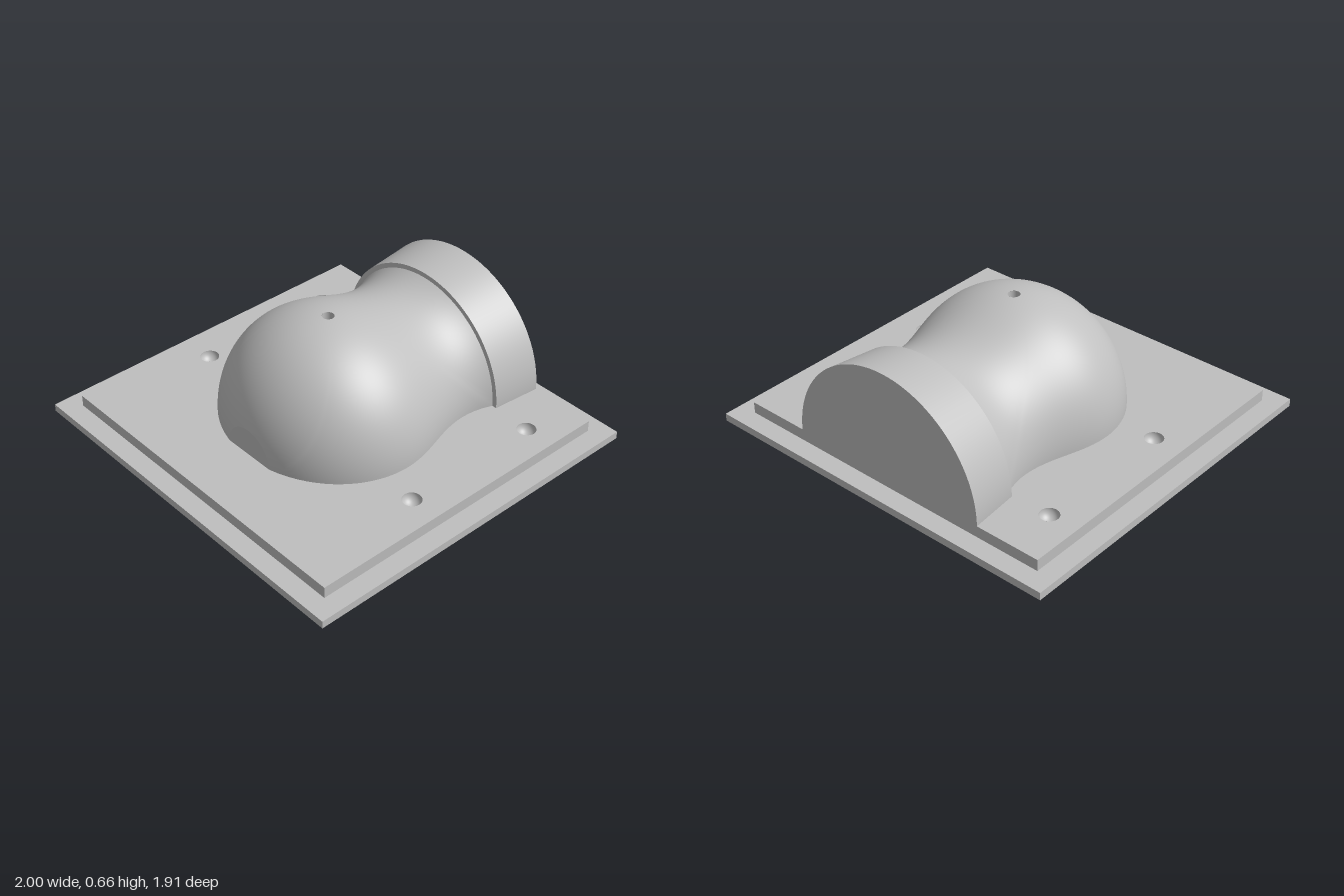
import * as THREE from 'three';

const PLATE_TOP = 0.1;
const HOLE_Z = 0.03; // axis of the vent and the socket
const VENT_R = 0.03;
const SOCKET_R = 0.2;
const SOCKET_TOP = 0.17;
const DIMPLE_R = 0.048;
const A_MIN = -0.635 / 0.507;
const A_MAX = Math.asin(0.49 / 0.507);

// Half-round body: radius and position along z for profile parameter a
function profile(a) {
  if (a > 0) return { z: 0.04 + 0.507 * Math.sin(a), r: 0.565 * Math.cos(a) };
  const z = 0.04 + 0.507 * a;
  const neck = -0.927;
  const r = a > neck
    ? 0.47 + 0.0475 * (1 + Math.cos((Math.PI * a) / neck))
    : 0.47 + 0.33 * (a - neck) ** 2;
  return { z, r };
}

// Surface swept from the vent rim outward to the edges of the half-round body
function bodyGeometry(rings = 56, around = 160) {
  const a0 = Math.asin((HOLE_Z - 0.04) / 0.507);
  const pos = [];
  const index = [];
  for (let i = 0; i <= rings; i++) {
    const s = i / rings;
    for (let j = 0; j < around; j++) {
      const t = (j / around) * Math.PI * 2;
      const c = Math.cos(t);
      const n = Math.sin(t);
      const m = Math.max(Math.abs(c), Math.abs(n));
      const rimA = Math.asin((HOLE_Z + VENT_R * c - 0.04) / 0.507);
      const rimTheta = Math.asin((VENT_R * n) / profile(rimA).r);
      const edgeA = a0 + (c / m) * (c > 0 ? A_MAX - a0 : a0 - A_MIN);
      const edgeTheta = ((n / m) * Math.PI) / 2;
      const { z, r } = profile(rimA + (edgeA - rimA) * s);
      const theta = rimTheta + (edgeTheta - rimTheta) * s;
      pos.push(r * Math.sin(theta), PLATE_TOP + r * Math.cos(theta), z);
      if (i < rings) {
        const k = (j + 1) % around;
        const p = i * around;
        const q = p + around;
        index.push(p + j, q + j, p + k, p + k, q + j, q + k);
      }
    }
  }
  const g = new THREE.BufferGeometry();
  g.setAttribute('position', new THREE.Float32BufferAttribute(pos, 3));
  g.setIndex(index);
  g.computeVertexNormals();
  return g;
}

// Rectangular plate with round holes given as [x, z, radius]
function plateGeometry(hx, hz, y, h, holes) {
  const shape = new THREE.Shape();
  shape.moveTo(-hx, -hz);
  shape.lineTo(hx, -hz);
  shape.lineTo(hx, hz);
  shape.lineTo(-hx, hz);
  shape.closePath();
  for (const [x, z, r] of holes) {
    const hole = new THREE.Path();
    hole.absarc(x, -z, r, 0, Math.PI * 2, true);
    shape.holes.push(hole);
  }
  const g = new THREE.ExtrudeGeometry(shape, { depth: h, bevelEnabled: false, curveSegments: 48 });
  return g.rotateX(-Math.PI / 2).translate(0, y, 0);
}

export function createModel() {
  const group = new THREE.Group();
  const grey = new THREE.MeshStandardMaterial({ color: 0xbfbfbf, side: THREE.DoubleSide });
  grey.name = 'grey';
  const add = (name, geometry) => {
    const mesh = new THREE.Mesh(geometry, grey);
    mesh.name = name;
    group.add(mesh);
    return mesh;
  };

  // Stepped base with the socket opening and four dimples
  const socket = [0, HOLE_Z, SOCKET_R];
  const dimples = [];
  for (const x of [-0.74, 0.74]) for (const z of [-0.585, 0.18]) dimples.push([x, z, DIMPLE_R]);
  add('basePlate', plateGeometry(1, 0.955, 0, 0.04, [socket]));
  add('raisedPlate', plateGeometry(0.9, 0.855, 0.04, 0.06, [socket, ...dimples]));
  for (const [x, z] of dimples) {
    const bowl = new THREE.SphereGeometry(DIMPLE_R, 48, 12, 0, Math.PI * 2, Math.PI / 2, Math.PI / 2);
    add('dimple', bowl).position.set(x, PLATE_TOP, z);
  }

  // Bulb, neck and the flat on the front
  add('body', bodyGeometry());
  add('frontFlat', new THREE.CircleGeometry(0.145, 40, 0, Math.PI)).position.set(0, PLATE_TOP, 0.53);

  // Flared half-round collar at the back
  const collar = new THREE.CylinderGeometry(0.555, 0.53, 0.26, 80, 1, false, -Math.PI / 2, Math.PI);
  add('collar', collar.rotateX(-Math.PI / 2)).position.set(0, PLATE_TOP, -0.725);

  // Socket underneath and the vent running up through the bulb
  const wallH = SOCKET_TOP - PLATE_TOP;
  add('socketWall', new THREE.CylinderGeometry(SOCKET_R, SOCKET_R, wallH, 96, 1, true))
    .position.set(0, PLATE_TOP + wallH / 2, HOLE_Z);
  add('socketCeiling', new THREE.RingGeometry(VENT_R, SOCKET_R, 96).rotateX(Math.PI / 2))
    .position.set(0, SOCKET_TOP, HOLE_Z);
  const ventH = 0.664 - SOCKET_TOP;
  add('vent', new THREE.CylinderGeometry(VENT_R, VENT_R, ventH, 40, 1, true))
    .position.set(0, SOCKET_TOP + ventH / 2, HOLE_Z);

  return group;
}
